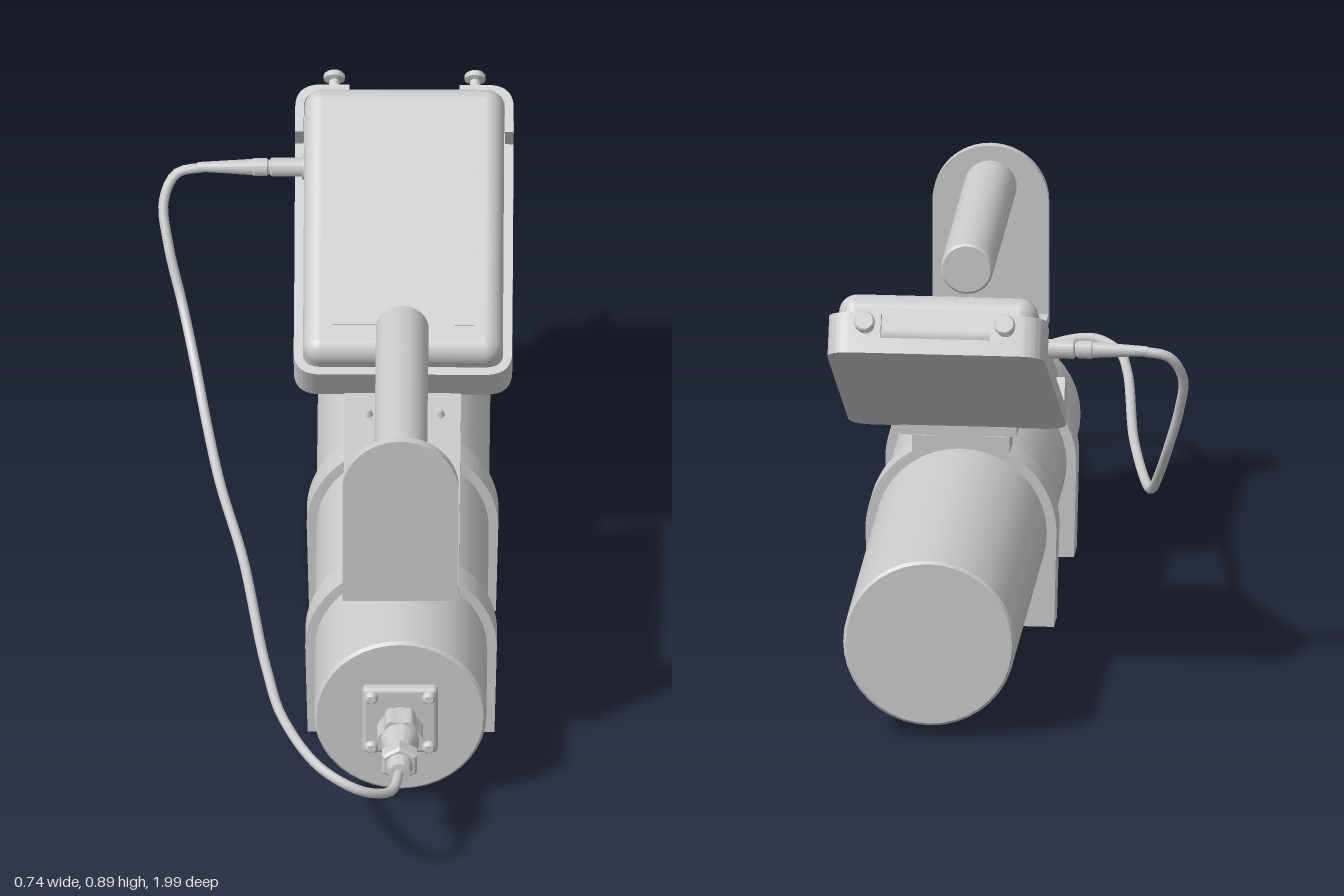
import * as THREE from 'three';
import { toCreasedNormals } from 'three/addons/utils/BufferGeometryUtils.js';
import { RoundedBoxGeometry } from 'three/addons/geometries/RoundedBoxGeometry.js';

const CX = 0.1415; // centre line of the tube
const CY = 0.205;
const V = (x, y, z) => new THREE.Vector3(x, y, z);

export function createModel() {
  const root = new THREE.Group();
  const mat = new THREE.MeshStandardMaterial({ color: 0xcccccc });

  const add = (name, geo, pos = [0, 0, 0], parent = root) => {
    const mesh = new THREE.Mesh(geo, mat);
    mesh.name = name;
    mesh.position.set(...pos);
    parent.add(mesh);
    return mesh;
  };
  const box = (name, w, h, d, pos, parent) => add(name, new THREE.BoxGeometry(w, h, d), pos, parent);
  const extrude = (shape, depth) => toCreasedNormals(
    new THREE.ExtrudeGeometry(shape, { depth, bevelEnabled: false, curveSegments: 16 }), 0.5);
  // solid of revolution along z; profile of [radius, z]
  const turned = (profile, seg = 32) => toCreasedNormals(
    new THREE.LatheGeometry(profile.map(([r, z]) => new THREE.Vector2(r, z)), seg).rotateX(Math.PI / 2), 0.5);

  // Main tube with softened rims
  add('mainTube', turned([[0, -1], [0.174, -1], [0.18, -0.994], [0.18, 0.619], [0.174, 0.625], [0, 0.625]], 40), [CX, CY, 0]);

  // Clamps: straight foot, round top and a neck up to the bracket
  const clamp = new THREE.Shape();
  const neck = 0.102, R = 0.2, a = Math.acos(neck / R);
  clamp.moveTo(-0.195, 0);
  clamp.lineTo(0.195, 0);
  clamp.lineTo(R, CY);
  clamp.absarc(0, CY, R, 0, a, false);
  clamp.lineTo(neck, 0.412);
  clamp.lineTo(-neck, 0.412);
  clamp.absarc(0, CY, R, Math.PI - a, Math.PI, false);
  clamp.closePath();
  for (const z of [0.313, -0.174]) {
    const g = new THREE.Group();
    g.name = 'clamp';
    g.position.set(CX, 0, z);
    root.add(g);
    add('clampBody', extrude(clamp, 0.074), [0, 0, -0.037], g);
    box('clampSpacer', 0.105, 0.024, 0.074, [0, 0.421, 0], g);
    for (const s of [-1, 1]) {
      box('clampTab', 0.05, 0.012, 0.085, [s * 0.077, 0.427, 0], g);
      add('clampBolt', new THREE.CylinderGeometry(0.009, 0.009, 0.04, 12), [s * 0.075, 0.42, 0], g);
      add('boltHead', new THREE.CylinderGeometry(0.009, 0.014, 0.014, 16), [s * 0.075, 0.461, 0], g);
    }
  }

  // Handle bracket: flat strip and rounded upright
  box('bracketStrip', 0.243, 0.023, 0.805, [CX, 0.4435, 0.1325], root);
  const upright = new THREE.Shape();
  upright.moveTo(-0.1215, 0.432);
  upright.lineTo(0.1215, 0.432);
  upright.absarc(0, 0.699, 0.1215, 0, Math.PI, false);
  upright.closePath();
  add('bracketUpright', extrude(upright, 0.021), [CX, 0, 0.514]);
  add('handleGrip', turned([[0, -0.07], [0.05, -0.07], [0.055, -0.065], [0.055, 0.52]]), [CX, 0.733, 0]);

  // Tilted instrument case; local y is out of its lid, -z runs up the slope
  const unit = new THREE.Group();
  unit.name = 'instrumentCase';
  unit.position.set(CX, 0.45, -0.265);
  unit.rotation.x = Math.PI / 6;
  root.add(unit);
  const w = 0.228, L = 0.69, r = 0.055, t = 0.018;
  const slab = (name, shape, h, y = 0) => add(name, extrude(shape, h).rotateX(-Math.PI / 2), [0, y, 0], unit);

  const floor = new THREE.Shape();
  floor.moveTo(-w, r);
  floor.quadraticCurveTo(-w, 0, -w + r, 0);
  floor.lineTo(w - r, 0);
  floor.quadraticCurveTo(w, 0, w, r);
  floor.lineTo(w, L - r);
  floor.quadraticCurveTo(w, L, w - r, L);
  floor.lineTo(-w + r, L);
  floor.quadraticCurveTo(-w, L, -w, L - r);
  floor.closePath();
  slab('trayFloor', floor, 0.033);

  // Tall front wall that wraps both lower corners
  const front = new THREE.Shape();
  front.moveTo(-w, 0.117);
  front.lineTo(-w, r);
  front.quadraticCurveTo(-w, 0, -w + r, 0);
  front.lineTo(w - r, 0);
  front.quadraticCurveTo(w, 0, w, r);
  front.lineTo(w, 0.117);
  front.lineTo(w - t, 0.117);
  front.lineTo(w - t, r);
  front.quadraticCurveTo(w - t, t, w - r, t);
  front.lineTo(-w + r, t);
  front.quadraticCurveTo(-w + t, t, -w + t, r);
  front.lineTo(-w + t, 0.117);
  front.closePath();
  slab('trayFrontWall', front, 0.086);

  // Upper corners with thumbscrews
  for (const s of [-1, 1]) {
    const c = new THREE.Shape();
    c.moveTo(s * w, 0.578);
    c.lineTo(s * w, L - r);
    c.quadraticCurveTo(s * w, L, s * (w - r), L);
    c.lineTo(s * 0.115, L);
    c.lineTo(s * 0.115, L - t);
    c.lineTo(s * (w - r), L - t);
    c.quadraticCurveTo(s * (w - t), L - t, s * (w - t), L - r);
    c.lineTo(s * (w - t), 0.578);
    c.closePath();
    slab('trayCorner', c, 0.086);
    add('thumbscrew', turned([[0, -0.04], [0.018, -0.04], [0.022, -0.036], [0.022, -0.026],
      [0.011, -0.022], [0.011, -0.01], [0.019, -0.006], [0.019, 0.012]], 20), [s * 0.147, 0.06, -L], unit);
  }

  // Lid with a thin cover panel
  add('caseLid', new RoundedBoxGeometry(0.417, 0.12, 0.646, 5, 0.038), [0, 0.077, -0.343], unit);
  box('lidPanel', 0.298, 0.004, 0.537, [0, 0.1365, -0.3585], unit);

  // Side plug, turned to point to -x
  const plug = add('sidePlug', turned([[0, 0.02], [0.026, 0.02], [0.026, 0], [0.02, 0], [0.02, -0.063], [0.016, -0.066],
    [0.016, -0.07], [0.019, -0.073], [0.019, -0.1], [0.017, -0.103], [0.01, -0.218], [0, -0.218]].reverse(), 24),
    [-0.072, 0.755, -0.675]);
  plug.rotation.y = Math.PI / 2;

  // Front connector: square flange, screws, scalloped ring, taper and hex nut
  const connector = new THREE.Group();
  connector.name = 'frontConnector';
  connector.position.set(CX, CY, 0.625);
  root.add(connector);
  add('flange', new RoundedBoxGeometry(0.157, 0.157, 0.028, 3, 0.01), [0, 0, 0.008], connector);
  for (const x of [-0.06, 0.06]) for (const y of [-0.06, 0.06]) {
    add('flangeScrew', turned([[0.014, 0.015], [0.014, 0.028], [0.009, 0.035], [0, 0.036]], 16), [x, y, 0], connector);
    box('screwSlot', 0.018, 0.004, 0.003, [x, y, 0.036], connector);
    box('screwSlot', 0.004, 0.018, 0.003, [x, y, 0.036], connector);
  }
  const ring = new THREE.Shape();
  for (let i = 0; i < 48; i++) {
    const q = (i / 48) * Math.PI * 2, k = 0.044 + 0.004 * Math.cos(6 * q);
    ring[i ? 'lineTo' : 'moveTo'](k * Math.cos(q), k * Math.sin(q));
  }
  add('lockRing', extrude(ring, 0.058), [0, 0, 0.037], connector);
  add('plugBody', turned([[0.036, 0.015], [0.036, 0.095], [0.04, 0.096], [0.04, 0.108], [0.028, 0.15],
    [0.028, 0.205], [0.023, 0.23], [0.011, 0.232], [0, 0.232]]), [0, 0, 0], connector);
  add('hexNut', turned([[0, 0.157], [0.036, 0.157], [0.042, 0.163], [0.042, 0.192], [0.036, 0.198], [0, 0.198]], 6),
    [0, 0, 0], connector);

  // Cable from the side plug round to the front connector
  const path = new THREE.CatmullRomCurve3([
    V(-0.27, 0.755, -0.675), V(-0.333, 0.742, -0.67), V(-0.36, 0.69, -0.645), V(-0.35, 0.61, -0.6),
    V(-0.32, 0.5, -0.54), V(-0.292, 0.41, -0.44), V(-0.268, 0.343, -0.32), V(-0.24, 0.305, -0.15),
    V(-0.19, 0.302, 0.15), V(-0.138, 0.307, 0.6), V(-0.1, 0.295, 0.79), V(-0.02, 0.27, 0.945),
    V(0.063, 0.238, 0.98), V(0.122, 0.212, 0.94), V(CX, CY, 0.845)]);
  add('cable', new THREE.TubeGeometry(path, 140, 0.0105, 10, false));

  return root;
}
